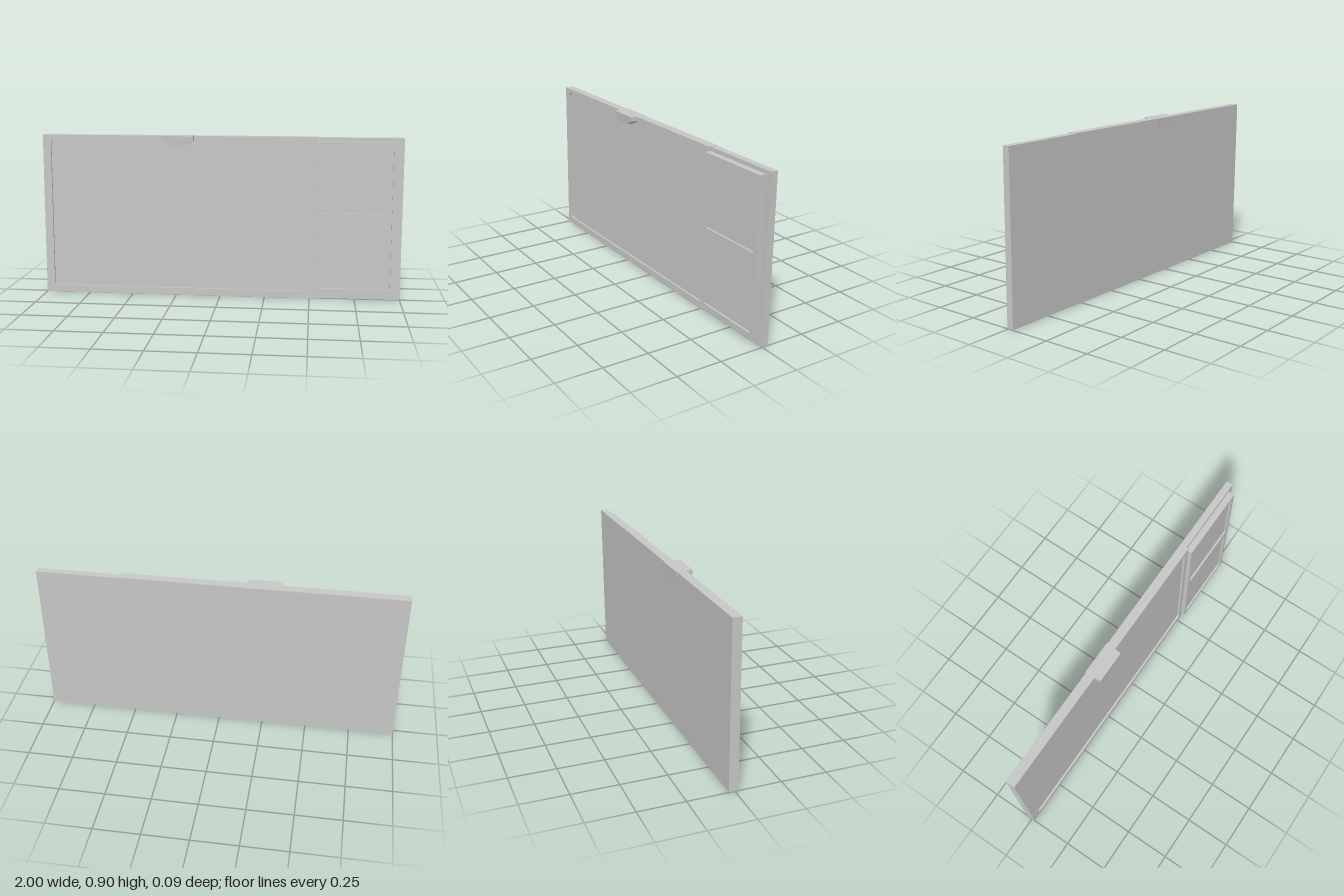
import * as THREE from 'three';

const gray = new THREE.MeshStandardMaterial({ color: 0xc8c7c8 });
gray.name = 'gray';

// Traces a rectangle, with optional rounded corners
function rect(path, x0, y0, x1, y1, r = 0) {
  path.moveTo(x0 + r, y0);
  path.lineTo(x1 - r, y0);
  if (r) path.absarc(x1 - r, y0 + r, r, -Math.PI / 2, 0);
  path.lineTo(x1, y1 - r);
  if (r) path.absarc(x1 - r, y1 - r, r, 0, Math.PI / 2);
  path.lineTo(x0 + r, y1);
  if (r) path.absarc(x0 + r, y1 - r, r, Math.PI / 2, Math.PI);
  path.lineTo(x0, y0 + r);
  if (r) path.absarc(x0 + r, y0 + r, r, Math.PI, Math.PI * 1.5);
  return path;
}

function slab(name, shape, back, front) {
  const geo = new THREE.ExtrudeGeometry(shape, { depth: front - back, bevelEnabled: false, curveSegments: 5 });
  geo.translate(0, 0, back);
  const mesh = new THREE.Mesh(geo, gray);
  mesh.name = name;
  return mesh;
}

// Clip over the top edge: cut lower corners, front narrowing and sloping inward
function topClip() {
  const outline = [
    [-0.333, 0.9025], [-0.333, 0.878], [-0.278, 0.851],
    [-0.196, 0.851], [-0.14, 0.878], [-0.14, 0.9025],
  ];
  const clip = slab('topClip', new THREE.Shape(outline.map(([x, y]) => new THREE.Vector2(x, y))), -0.036, 0.055);
  const pos = clip.geometry.attributes.position;
  for (let i = 0; i < pos.count; i++) {
    const low = (0.9025 - pos.getY(i)) / 0.0515;
    if (pos.getZ(i) > 0) {
      pos.setX(i, -0.2365 + (pos.getX(i) + 0.2365) * 0.93);
      pos.setZ(i, 0.055 - 0.004 * low);
    } else {
      pos.setZ(i, -0.036 + 0.0015 * low);
    }
  }
  clip.geometry.computeVertexNormals();
  return clip;
}

export function createModel() {
  const model = new THREE.Group();
  model.name = 'wallBoard';
  const board = new THREE.Group();
  board.name = 'leaningBoard';
  board.rotation.x = -0.0113; // leans back slightly
  model.add(board);

  // Large left board: backing plus raised frame
  board.add(slab('mainBacking', rect(new THREE.Shape(), -1, 0, 0.537, 0.902), -0.032, 0.007));
  const frame = rect(new THREE.Shape(), -1, 0, 0.537, 0.902);
  frame.holes.push(rect(new THREE.Path(), -0.955, 0.04, 0.51, 0.878, 0.02));
  board.add(slab('mainFrame', frame, 0.007, 0.0185));

  // Thinner right board
  board.add(slab('sideBacking', rect(new THREE.Shape(), 0.537, 0.001, 1, 0.899), -0.032, 0.006));

  // Raised side panel with two recessed windows
  board.add(slab('sidePanel', rect(new THREE.Shape(), 0.537, 0.04, 0.965, 0.878), 0.006, 0.03));
  const panel = rect(new THREE.Shape(), 0.537, 0.04, 0.965, 0.878);
  for (const [y0, y1] of [[0.064, 0.438], [0.487, 0.854]]) {
    panel.holes.push(rect(new THREE.Path(), 0.56, y0, 0.942, y1));
  }
  board.add(slab('sidePanelFrame', panel, 0.03, 0.041));

  board.add(topClip());

  return model;
}
